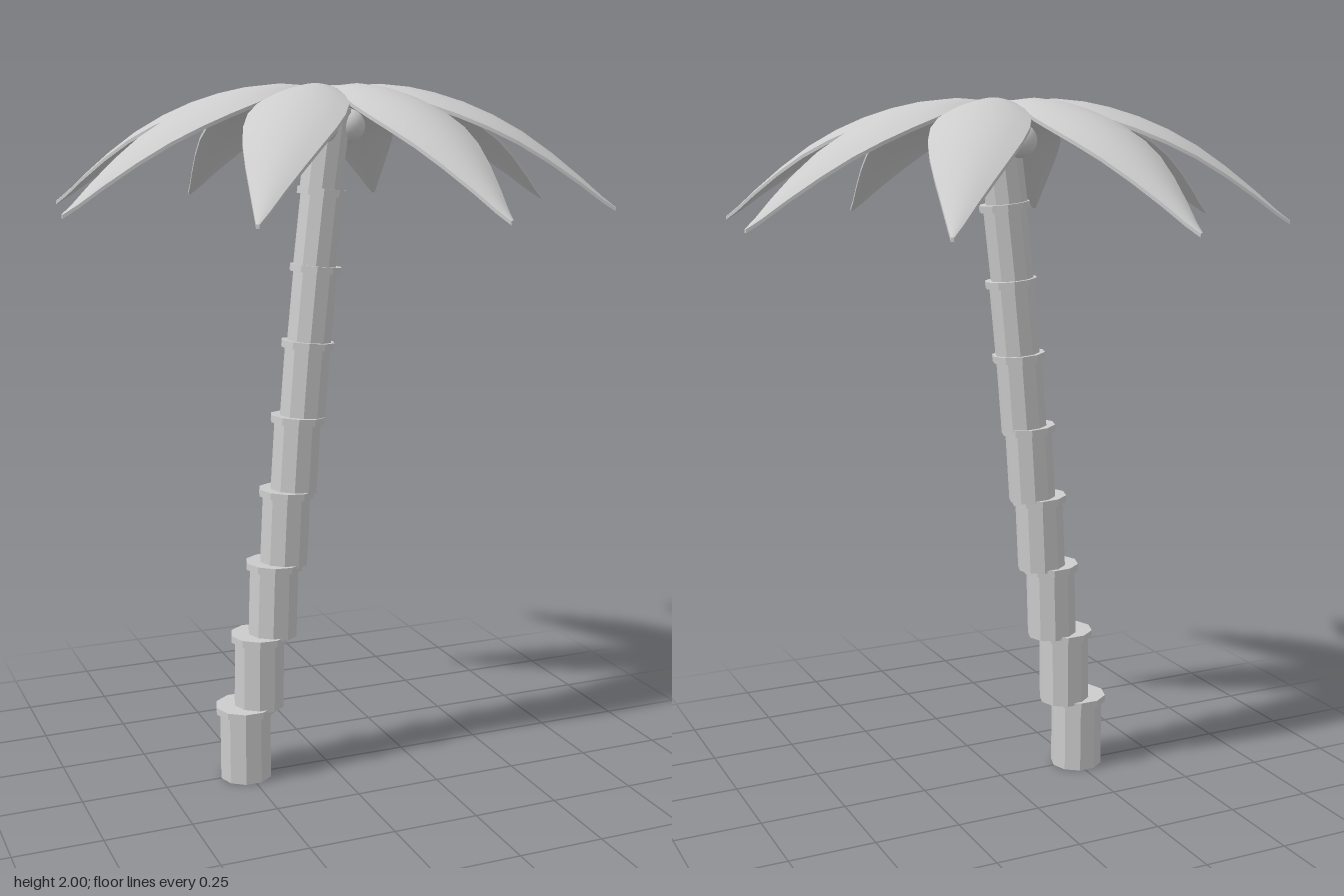
import * as THREE from 'three';

// Leaf stations: [distance from crown, spine height, half width]
const STATIONS = [
  [0, 1.985, 0.002], [0.07, 1.994, 0.03], [0.15, 1.998, 0.064], [0.23, 1.99, 0.1],
  [0.3, 1.975, 0.121], [0.38, 1.95, 0.127], [0.46, 1.916, 0.119], [0.54, 1.872, 0.1],
  [0.62, 1.816, 0.073], [0.7, 1.752, 0.042], [0.76, 1.7, 0.018], [0.797, 1.672, 0.004],
];
const ACROSS = 8;
const THICK = 0.01;
const DROOP = 0.25;

// A thin arched blade along +x: top skin, underside and rim
function leafGeometry() {
  const pos = [], idx = [];
  const point = (i, j, drop) => {
    const [r, y, w] = STATIONS[i];
    const v = (j / ACROSS) * 2 - 1;
    return [r, y - DROOP * w * v * v - drop, w * v];
  };
  const strip = (rows, cols, fn, flip) => {
    const base = pos.length / 3;
    for (let i = 0; i < rows; i++) for (let j = 0; j < cols; j++) pos.push(...fn(i, j));
    for (let i = 0; i < rows - 1; i++) for (let j = 0; j < cols - 1; j++) {
      const a = base + i * cols + j, b = a + 1, c = a + cols, d = c + 1;
      if (flip) idx.push(a, c, b, b, c, d);
      else idx.push(a, b, c, b, d, c);
    }
  };
  const n = STATIONS.length;
  strip(n, ACROSS + 1, (i, j) => point(i, j, 0), false);
  strip(n, ACROSS + 1, (i, j) => point(i, j, THICK), true);
  strip(n, 2, (i, j) => point(i, ACROSS, j * THICK), false);
  strip(n, 2, (i, j) => point(i, 0, j * THICK), true);
  strip(2, ACROSS + 1, (i, j) => point(n - 1, j, i * THICK), false);
  const g = new THREE.BufferGeometry();
  g.setAttribute('position', new THREE.Float32BufferAttribute(pos, 3));
  g.setIndex(idx);
  g.computeVertexNormals();
  return g;
}

// Ten-sided drum with flat faces and a corner towards +x
function facetedDrum(radius, height, y) {
  const g = new THREE.CylinderGeometry(radius, radius, height, 10).toNonIndexed();
  g.rotateY(Math.PI / 10).translate(0, y, 0);
  g.computeVertexNormals();
  return g;
}

export function createModel() {
  const model = new THREE.Group();
  model.name = 'palmTree';
  const grey = new THREE.MeshStandardMaterial({ color: 0xcccccc });
  grey.name = 'light grey';

  const add = (parent, geometry, name) => {
    const mesh = new THREE.Mesh(geometry, grey);
    mesh.name = name;
    parent.add(mesh);
    return mesh;
  };

  // Trunk: stepped segments, each leaning a little more and capped by a ring
  const trunk = new THREE.Group();
  trunk.name = 'trunk';
  model.add(trunk);
  const baseX = [-0.257, -0.214, -0.17, -0.134, -0.102, -0.074, -0.053, -0.036, -0.018];
  const step = 0.2135;
  baseX.forEach((x, i) => {
    const segment = new THREE.Group();
    segment.name = 'trunkSegment' + (i + 1);
    segment.position.set(x, i * step, 0);
    segment.rotation.z = -THREE.MathUtils.degToRad(i * 0.95);
    trunk.add(segment);
    const r = 0.077 - i * 0.0021;
    const h = i === 8 ? 0.23 : step;
    add(segment, facetedDrum(r, h, h / 2), 'segmentBody');
    if (i < 8) add(segment, facetedDrum(r + 0.011, 0.02, step - 0.002), 'segmentRing');
  });

  // Crown of eight drooping leaves
  const crown = new THREE.Group();
  crown.name = 'crown';
  model.add(crown);
  const leaf = leafGeometry();
  for (let i = 0; i < 8; i++) {
    add(crown, leaf, 'leaf' + (i + 1)).rotation.y = THREE.MathUtils.degToRad(11.5 + i * 45);
  }

  // Coconuts around the top of the trunk
  const nut = new THREE.SphereGeometry(0.047, 24, 16);
  [[-0.038, 0.06], [0.065, 0.005], [-0.03, -0.06]].forEach(([x, z], i) => {
    add(model, nut, 'coconut' + (i + 1)).position.set(x, 1.885, z);
  });

  return model;
}
